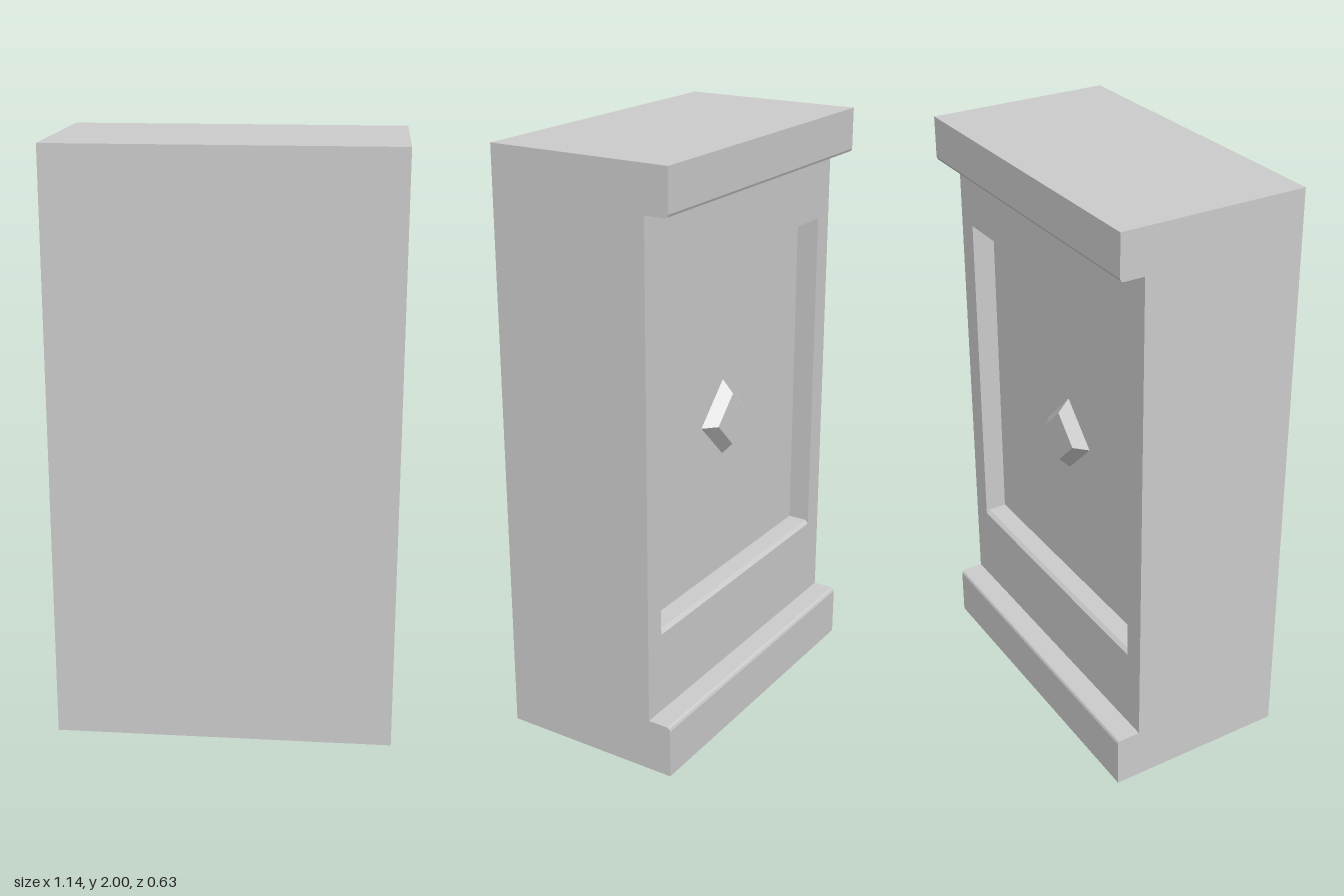
import * as THREE from 'three';
import { mergeGeometries } from 'three/addons/utils/BufferGeometryUtils.js';

const HALF_W = 0.57, RECESS_W = 0.495;
const FRONT = 0.317, LIP = -0.317, BACK = -0.235, PANEL = -0.157;
const R = 0.012;

// Side profiles as [z, y], running up the front, over the top and down the back
const upper = [[FRONT, 0], [FRONT, 2], [LIP, 2], [LIP, 1.85 + R], [LIP + R * 0.3, 1.85 + R * 0.3], [LIP + R, 1.85], [BACK, 1.85]];
const lower = [[BACK, 0.182], [LIP + R, 0.182], [LIP + R * 0.3, 0.182 - R * 0.3], [LIP, 0.182 - R], [LIP, 0]];
const recess = [[BACK, 1.625], [PANEL, 1.625], [PANEL, 0.475], [BACK + R, 0.475], [BACK, 0.475 - R]];
const plainProfile = [...upper, ...lower];
const recessedProfile = [...upper, ...recess, ...lower];

// Walls swept along x from a closed profile
function sweep(profile, x0, x1) {
  const pos = [];
  profile.forEach(([z, y], i) => {
    const [z2, y2] = profile[(i + 1) % profile.length];
    pos.push(x0, y, z, x1, y, z, x1, y2, z2, x0, y, z, x1, y2, z2, x0, y2, z2);
  });
  const g = new THREE.BufferGeometry();
  g.setAttribute('position', new THREE.Float32BufferAttribute(pos, 3));
  g.computeVertexNormals();
  return g;
}

// Flat face in the plane x, looking along dir (+1 or -1)
function face(profile, x, dir) {
  const shape = new THREE.Shape(profile.map(([z, y]) => new THREE.Vector2(-dir * z, y)));
  const g = new THREE.ShapeGeometry(shape).toNonIndexed();
  g.deleteAttribute('uv');
  return g.rotateY(dir * Math.PI / 2).translate(x, 0, 0);
}

export function createModel() {
  const model = new THREE.Group();
  const material = new THREE.MeshStandardMaterial({ color: 0xcccccc, flatShading: true });

  // Block with top and bottom lips and a sunken panel in its back
  const parts = [sweep(recessedProfile, -RECESS_W, RECESS_W)];
  for (const s of [-1, 1]) {
    parts.push(sweep(plainProfile, Math.min(s * RECESS_W, s * HALF_W), Math.max(s * RECESS_W, s * HALF_W)));
    parts.push(face(plainProfile, s * HALF_W, s));
    parts.push(face(recess, s * RECESS_W, -s));
  }
  const block = new THREE.Mesh(mergeGeometries(parts), material);
  block.name = 'pedestalBlock';
  model.add(block);

  // Bevelled diamond in the middle of the panel
  const stud = new THREE.CylinderGeometry(0.09, 0.133, 0.04, 4).rotateX(-Math.PI / 2);
  const diamond = new THREE.Mesh(stud, material);
  diamond.name = 'diamondStud';
  diamond.position.set(0, 1.037, PANEL - 0.02);
  model.add(diamond);

  return model;
}
